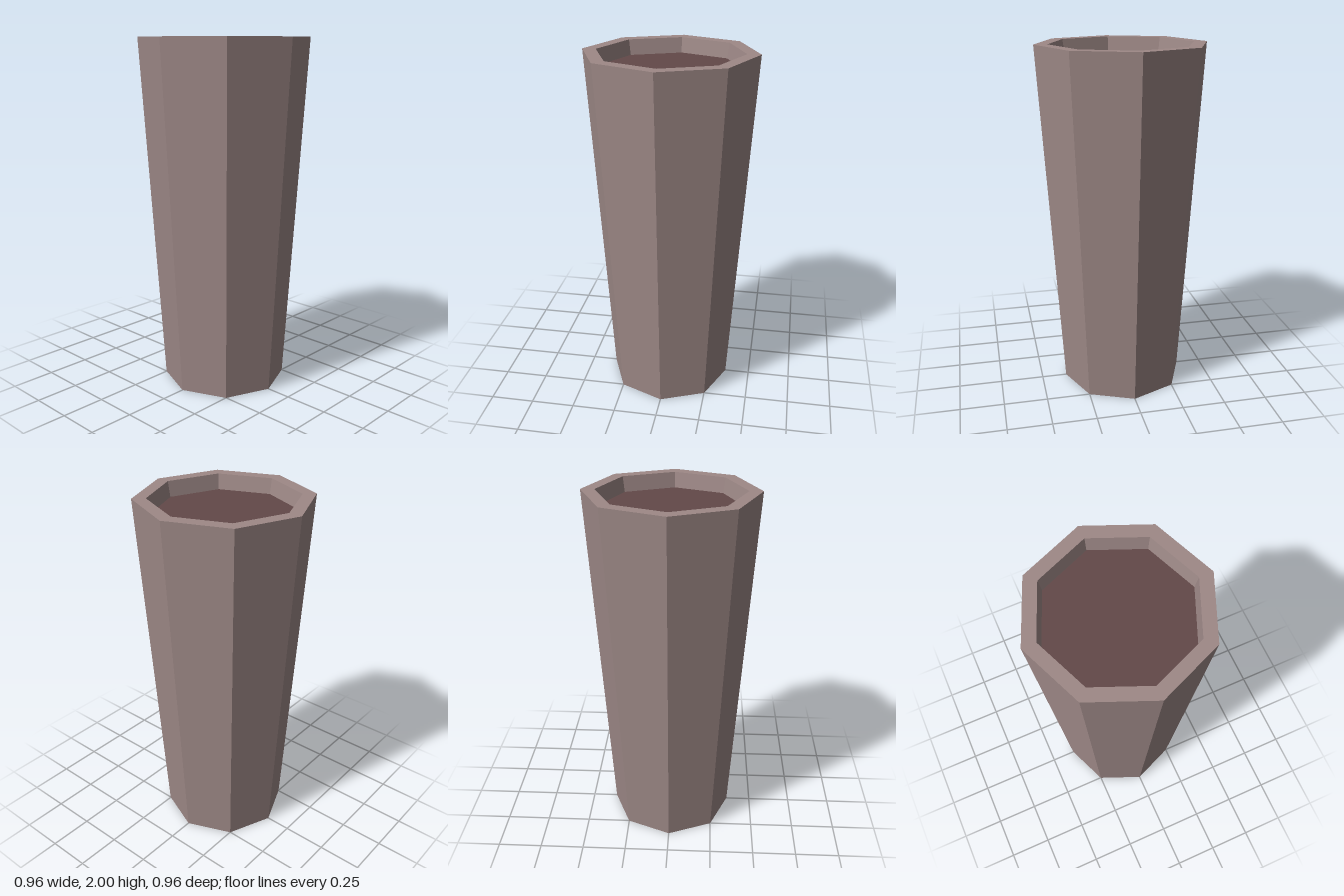
import * as THREE from 'three';

const SIDES = 8;
const FILL_Y = 1.915;

function part(name, geometry, color) {
  const mesh = new THREE.Mesh(geometry, new THREE.MeshStandardMaterial({ color, flatShading: true }));
  mesh.name = name;
  return mesh;
}

export function createModel() {
  const group = new THREE.Group();
  group.name = 'taperedPot';

  // Octagonal shell: closed base, tapered wall, flat rim and inner lip
  const profile = [[0, 0], [0.355, 0], [0.48, 2], [0.405, 2], [0.39, FILL_Y]]
    .map(([r, y]) => new THREE.Vector2(r, y));
  group.add(part('shell', new THREE.LatheGeometry(profile, SIDES), 0x9e8987));

  // Dark filling recessed below the rim, corners aligned with the shell
  const filling = part('filling', new THREE.CircleGeometry(0.39, SIDES), 0x634949);
  filling.rotation.x = -Math.PI / 2;
  filling.position.y = FILL_Y;
  group.add(filling);

  return group;
}
